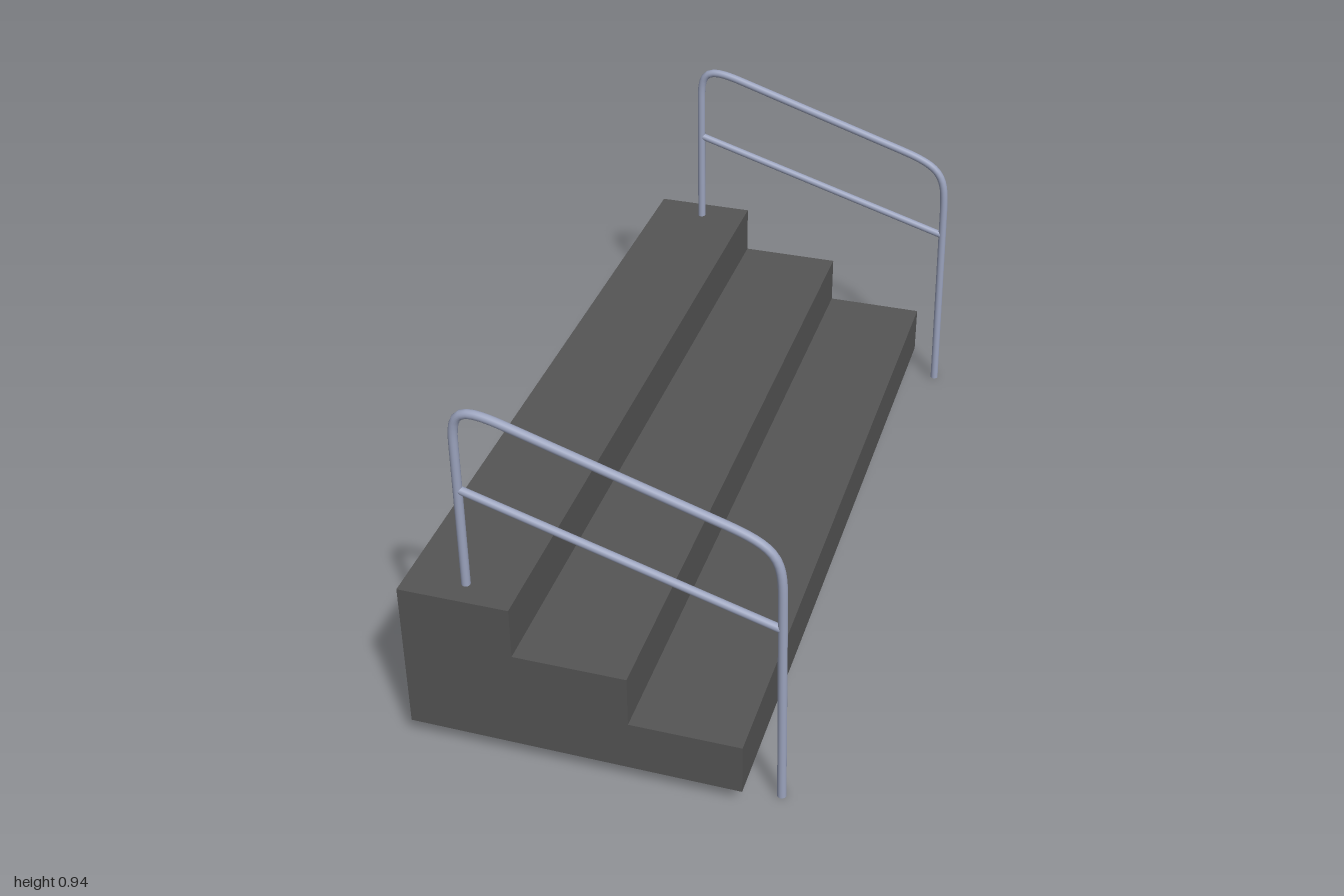
import * as THREE from 'three';

const stepMaterial = new THREE.MeshStandardMaterial({ color: 0x555555 });
const railMaterial = new THREE.MeshStandardMaterial({ color: 0x9aa2bc });
const v = (x, y) => new THREE.Vector3(x, y, 0);

// Three steps: a side profile extruded along z
function createSteps() {
  const profile = new THREE.Shape([
    [-0.455, 0.055], [0.365, 0.05], [0.365, 0.185], [0.093, 0.185],
    [0.093, 0.32], [-0.183, 0.32], [-0.183, 0.455], [-0.455, 0.455],
  ].map(([x, y]) => new THREE.Vector2(x, y)));
  const geometry = new THREE.ExtrudeGeometry(profile, { depth: 2, bevelEnabled: false });
  geometry.translate(0, 0, -1);
  const steps = new THREE.Mesh(geometry, stepMaterial);
  steps.name = 'steps';
  return steps;
}

// Round end closing a tube
function createCap(x, y, radius, facing) {
  const cap = new THREE.Mesh(new THREE.CircleGeometry(radius, 16), railMaterial);
  cap.rotation.x = -facing * Math.PI / 2;
  cap.position.set(x, y, 0);
  cap.name = 'railEnd';
  return cap;
}

// Bent handrail with both posts, plus a sloping middle bar
function createRailing(name, z) {
  const railing = new THREE.Group();
  railing.name = name;

  const path = new THREE.CurvePath();
  path.add(new THREE.LineCurve3(v(-0.311, 0.45), v(-0.311, 0.85)));
  path.add(new THREE.CubicBezierCurve3(v(-0.311, 0.85), v(-0.311, 0.93), v(-0.29, 0.944), v(-0.2, 0.917)));
  path.add(new THREE.LineCurve3(v(-0.2, 0.917), v(0.3, 0.757)));
  path.add(new THREE.CubicBezierCurve3(v(0.3, 0.757), v(0.425, 0.717), v(0.432, 0.69), v(0.434, 0.57)));
  path.add(new THREE.LineCurve3(v(0.434, 0.57), v(0.443, 0)));
  const handrail = new THREE.Mesh(new THREE.TubeGeometry(path, 120, 0.011, 16), railMaterial);
  handrail.name = 'handrail';

  const middle = new THREE.LineCurve3(v(-0.311, 0.722), v(0.435, 0.498));
  const middleBar = new THREE.Mesh(new THREE.TubeGeometry(middle, 1, 0.01, 16), railMaterial);
  middleBar.name = 'middleBar';

  railing.add(handrail, middleBar, createCap(0.443, 0, 0.011, -1), createCap(-0.311, 0.45, 0.011, -1));
  railing.position.z = z;
  return railing;
}

export function createModel() {
  const model = new THREE.Group();
  model.name = 'stepsWithRailings';
  model.add(createSteps(), createRailing('frontRailing', 0.936), createRailing('backRailing', -0.932));
  return model;
}
